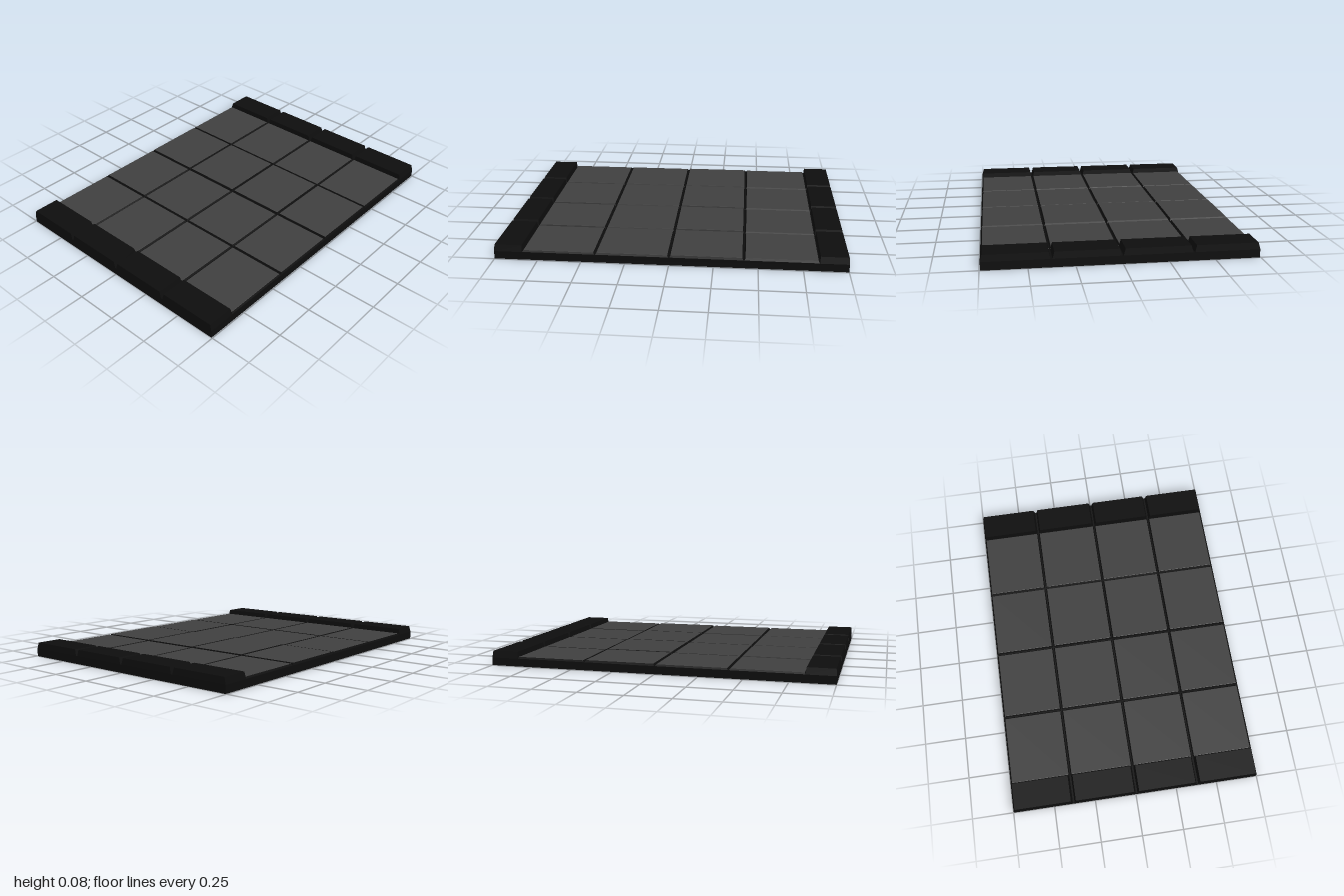
import * as THREE from 'three';

const dark = new THREE.MeshStandardMaterial({ color: 0x0d0d0d, flatShading: true });
const slate = new THREE.MeshStandardMaterial({ color: 0x3f3f3f, flatShading: true });

// Box between two corners whose top face is drawn in by insetX and insetZ
function bevelBlock(name, [x0, x1], [y0, y1], [z0, z1], insetX, insetZ, material) {
  const w = x1 - x0, h = y1 - y0, d = z1 - z0;
  const geo = new THREE.BoxGeometry(w, h, d);
  const p = geo.attributes.position;
  for (let i = 0; i < p.count; i++) {
    if (p.getY(i) > 0) {
      p.setX(i, p.getX(i) * (1 - 2 * insetX / w));
      p.setZ(i, p.getZ(i) * (1 - 2 * insetZ / d));
    }
  }
  geo.computeVertexNormals();
  const mesh = new THREE.Mesh(geo, material);
  mesh.name = name;
  mesh.position.set((x0 + x1) / 2, (y0 + y1) / 2, (z0 + z1) / 2);
  return mesh;
}

export function createModel() {
  const model = new THREE.Group();
  model.name = 'pavedRoadSection';

  const base = 0.046;
  const columns = [-0.84, -0.42, 0, 0.42, 0.84];
  const rows = [-0.745, -0.381, 0.003, 0.377, 0.745];

  // Foundation slab
  model.add(bevelBlock('foundation', [-1, 1], [0, base], [-0.745, 0.745], 0, 0, dark));

  const paving = new THREE.Group();
  paving.name = 'pavingSlabs';
  const curbs = new THREE.Group();
  curbs.name = 'curbs';
  model.add(paving, curbs);

  for (let r = 0; r < 4; r++) {
    const [z0, z1] = [rows[r], rows[r + 1]];

    // Paving slabs: dark bevelled body with a lighter top, laid slightly unevenly
    for (let c = 0; c < 4; c++) {
      const top = 0.056 + (c === 2 ? 0.003 : 0) + ((r * 3 + c * 2) % 4) * 0.0004;
      const x = [columns[c] + 0.003, columns[c + 1] - 0.003];
      const z = [z0 + 0.003, z1 - 0.003];
      paving.add(bevelBlock('slabBody', x, [base, top - 0.001], z, 0.006, 0.006, dark));
      paving.add(bevelBlock('slabTop', [x[0] + 0.006, x[1] - 0.006], [top - 0.001, top],
        [z[0] + 0.006, z[1] - 0.006], 0.002, 0.002, slate));
    }

    // Curb stones on both sides, tapered at the joints
    for (const side of [-1, 1]) {
      const x = side > 0 ? [0.838, 1] : [-1, -0.838];
      const z = [z0 + (r > 0 ? 0.005 : 0), z1 - (r < 3 ? 0.005 : 0)];
      curbs.add(bevelBlock('curbStone', x, [base, 0.084], z, 0.003, 0.01, dark));
    }
  }
  return model;
}
